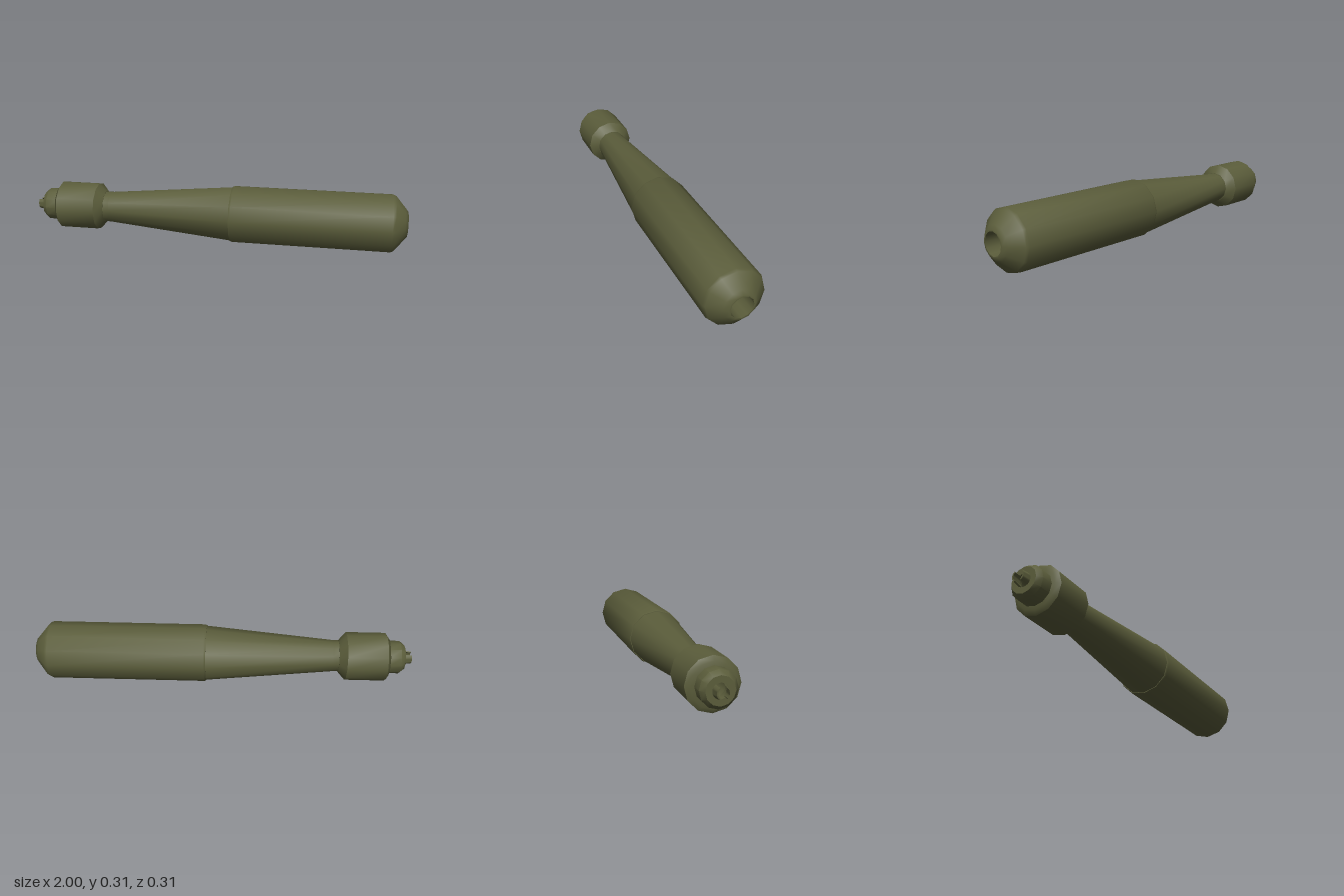
import * as THREE from 'three';
import { toCreasedNormals } from 'three/addons/utils/BufferGeometryUtils.js';

const AXIS_Y = 0.154;
const SIDES = 12;

export function createModel() {
  const model = new THREE.Group();
  model.name = 'taperedHandle';
  const olive = new THREE.MeshStandardMaterial({ color: 0x5b5d3b });

  const add = (name, geometry) => {
    const mesh = new THREE.Mesh(geometry, olive);
    mesh.name = name;
    mesh.position.y = AXIS_Y;
    model.add(mesh);
  };

  // Turned part lying along x; profile is [x, radius], outside towards +x, inside back.
  const turned = (name, profile) => {
    const points = profile.map(([x, r]) => new THREE.Vector2(r, x));
    const geometry = new THREE.LatheGeometry(points, SIDES);
    geometry.rotateZ(-Math.PI / 2);
    add(name, toCreasedNormals(geometry, 0.72));
  };

  // Thick grip with a bevelled, bored end
  turned('grip', [
    [0.09, 0.058], [0.09, 0.149], [0.1, 0.153], [0.92, 0.153], [0.935, 0.146],
    [0.985, 0.085], [1, 0.066], [1, 0.058], [0.09, 0.058],
  ]);

  // Slim tapering neck
  turned('neck', [
    [-0.64, 0.056], [-0.64, 0.082], [-0.58, 0.084], [0.09, 0.146], [0.09, 0.058], [-0.64, 0.056],
  ]);

  // Bevelled collar
  turned('collar', [
    [-0.875, 0.056], [-0.875, 0.106], [-0.86, 0.128], [-0.65, 0.128], [-0.612, 0.085],
    [-0.612, 0.056], [-0.875, 0.056],
  ]);

  // Stepped end cap with a narrow throat
  turned('endCap', [
    [-0.96, 0.036], [-0.96, 0.067], [-0.935, 0.087], [-0.87, 0.087], [-0.87, 0.056],
    [-0.93, 0.055], [-0.93, 0.036], [-0.96, 0.036],
  ]);

  // Two curved prongs narrowing towards the tip
  const half = 0.95, length = 0.055;
  const arc = new THREE.Shape();
  arc.absarc(0, 0, 0.039, -half, half, false);
  arc.absarc(0, 0, 0.031, half, -half, true);
  arc.closePath();
  for (const side of [1, -1]) {
    const geometry = new THREE.ExtrudeGeometry(arc, { depth: length, bevelEnabled: false, curveSegments: 4 });
    const p = geometry.attributes.position;
    for (let i = 0; i < p.count; i++) {
      const s = 1 - 0.2 * p.getZ(i) / length;
      p.setXY(i, p.getX(i) * s, p.getY(i) * s);
    }
    if (side < 0) geometry.rotateZ(Math.PI);
    geometry.rotateY(-Math.PI / 2);
    geometry.translate(-1 + length, 0, 0);
    add(side > 0 ? 'frontProng' : 'backProng', toCreasedNormals(geometry, 0.72));
  }

  return model;
}
